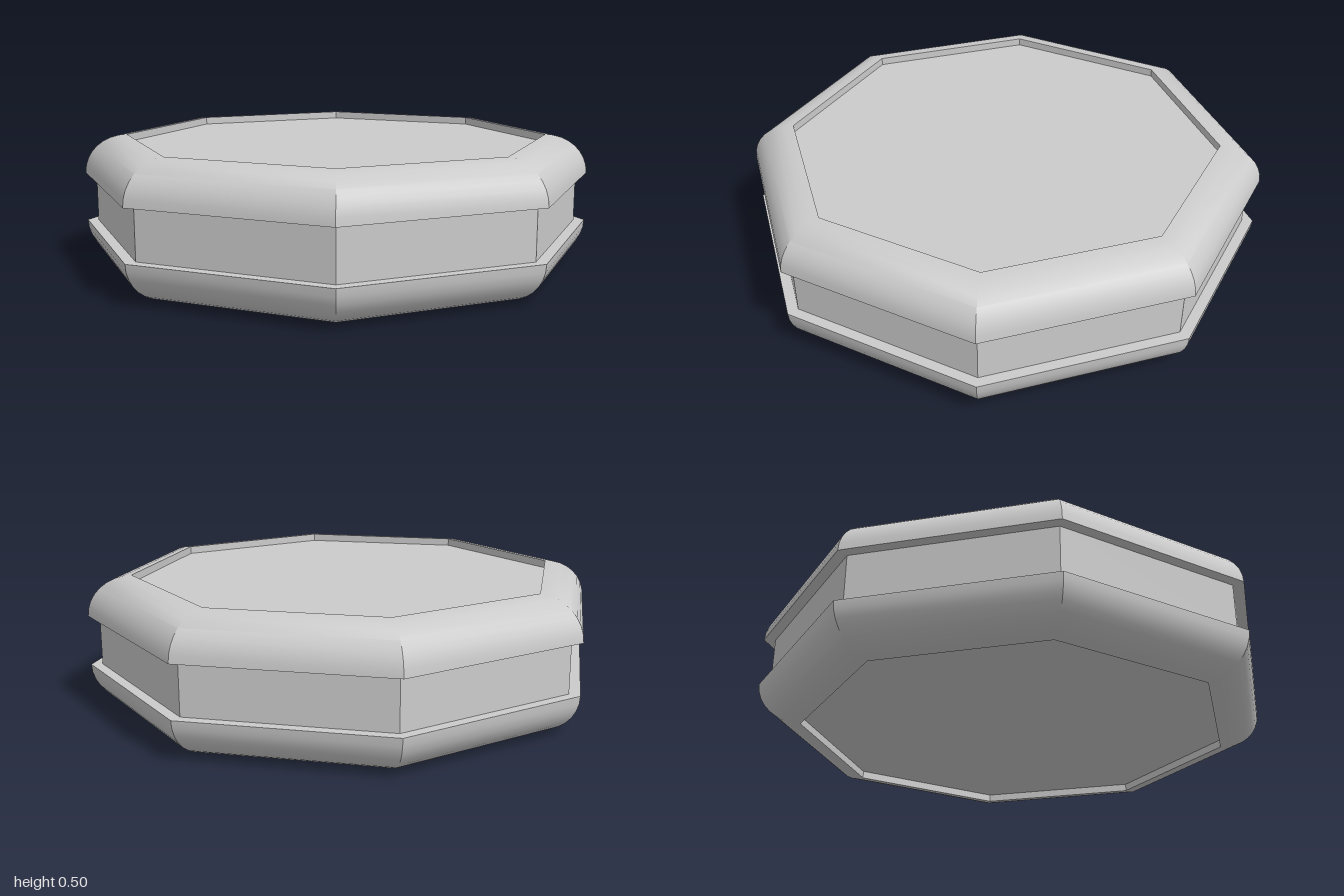
import * as THREE from 'three';
import { toCreasedNormals } from 'three/addons/utils/BufferGeometryUtils.js';

const SIDES = 8;
const HEIGHT = 0.5;
const OUTER = 1;        // rim corner radius
const WAIST = 0.957;    // recessed band radius
const INNER = 0.83;     // panel radius
const LEDGE = 0.346;    // underside of the upper rim
const RECESS = 0.03;    // depth of the panels below the rim

export function createModel() {
  const group = new THREE.Group();
  const material = new THREE.MeshStandardMaterial({ color: 0xcccccc });

  const add = (name, geometry) => {
    const mesh = new THREE.Mesh(geometry, material);
    mesh.name = name;
    group.add(mesh);
    return mesh;
  };
  const octagonLathe = (points) =>
    toCreasedNormals(new THREE.LatheGeometry(points, SIDES), Math.PI / 6);

  // Rim section: ledge, quarter-ellipse shoulder, short wall down to the panel
  const rim = [new THREE.Vector2(WAIST, LEDGE)];
  const steps = 8;
  for (let i = 0; i <= steps; i++) {
    const a = (i / steps) * Math.PI / 2;
    rim.push(new THREE.Vector2(
      INNER + (OUTER - INNER) * Math.cos(a),
      LEDGE + (HEIGHT - LEDGE) * Math.sin(a)));
  }
  rim.push(new THREE.Vector2(INNER, HEIGHT - RECESS));

  // The lower rim mirrors the upper one, run in reverse to keep faces outward
  const lowerRim = rim.map((p) => new THREE.Vector2(p.x, HEIGHT - p.y)).reverse();
  add('upperRim', octagonLathe(rim));
  add('lowerRim', octagonLathe(lowerRim));

  // Recessed band between the rims
  add('waistBand', octagonLathe([
    new THREE.Vector2(WAIST, HEIGHT - LEDGE),
    new THREE.Vector2(WAIST, LEDGE),
  ]));

  // Flat sunken panels on top and bottom
  const panel = new THREE.CircleGeometry(INNER, SIDES);
  const top = add('topPanel', panel);
  top.rotation.x = -Math.PI / 2;
  top.position.y = HEIGHT - RECESS;
  const bottom = add('bottomPanel', panel);
  bottom.rotation.x = Math.PI / 2;
  bottom.position.y = RECESS;

  return group;
}
